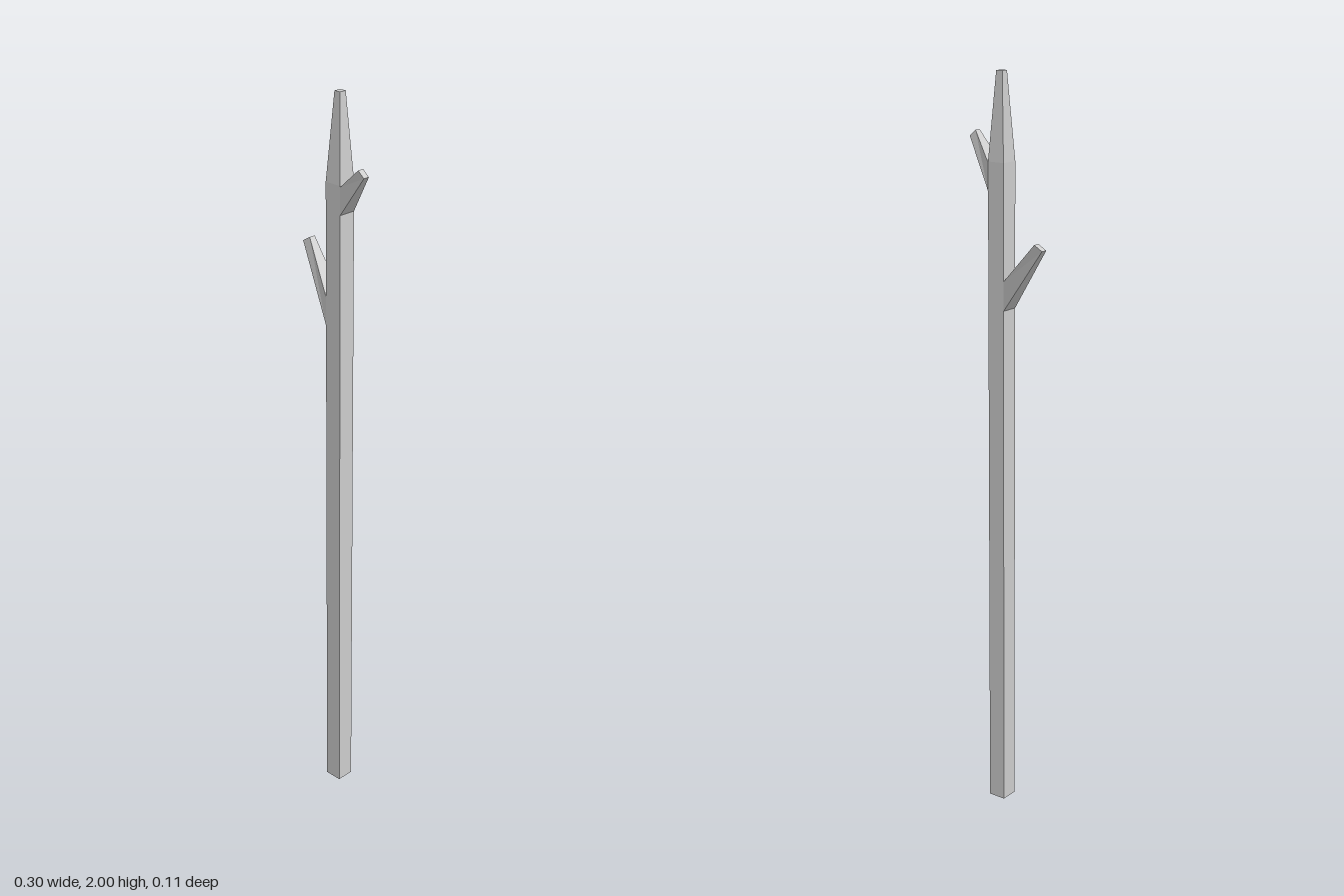
import * as THREE from 'three';

const material = new THREE.MeshStandardMaterial({ color: 0xcccccc, flatShading: true });

// Joins four-cornered rings, each counter-clockwise seen from the far end, and caps both ends
function loft(name, rings) {
  const pos = [];
  const quad = (a, b, c, d) => pos.push(...a, ...b, ...c, ...a, ...c, ...d);
  for (let r = 0; r < rings.length - 1; r++) {
    for (let i = 0; i < 4; i++) {
      const j = (i + 1) % 4;
      quad(rings[r][i], rings[r][j], rings[r + 1][j], rings[r + 1][i]);
    }
  }
  quad(...[...rings[0]].reverse());
  quad(...rings[rings.length - 1]);
  const geometry = new THREE.BufferGeometry();
  geometry.setAttribute('position', new THREE.Float32BufferAttribute(pos, 3));
  geometry.computeVertexNormals();
  const mesh = new THREE.Mesh(geometry, material);
  mesh.name = name;
  return mesh;
}

// Horizontal square ring of the trunk
const level = (y, h) => {
  const x = 0.017, z = -0.001;
  return [[x - h, y, z + h], [x + h, y, z + h], [x + h, y, z - h], [x - h, y, z - h]];
};

// Branch end: lower edge at (xLow, yLow), upper edge at (xHigh, yHigh), spanning zNear to zFar
const end = (xLow, yLow, xHigh, yHigh, zNear, zFar) => [
  [xLow, yLow, zNear], [xLow, yLow, zFar], [xHigh, yHigh, zFar], [xHigh, yHigh, zNear],
];

export function createModel() {
  const group = new THREE.Group();
  group.name = 'woodenStake';

  // Square shaft with a tapered point
  group.add(loft('shaft', [level(0, 0.0245), level(1.775, 0.0245), level(2, 0.0095)]));

  // Upper branch leans left and forward
  group.add(loft('upperBranch', [
    end(0.0415, 1.7, 0.0415, 1.772, 0.0235, -0.0255),
    end(0.15, 1.825, 0.131, 1.841, 0.055, 0.038),
  ]));

  // Lower branch leans right and backward
  group.add(loft('lowerBranch', [
    end(-0.0075, 1.397, -0.0075, 1.474, -0.0255, 0.0235),
    end(-0.151, 1.573, -0.127, 1.587, -0.057, -0.039),
  ]));

  return group;
}
